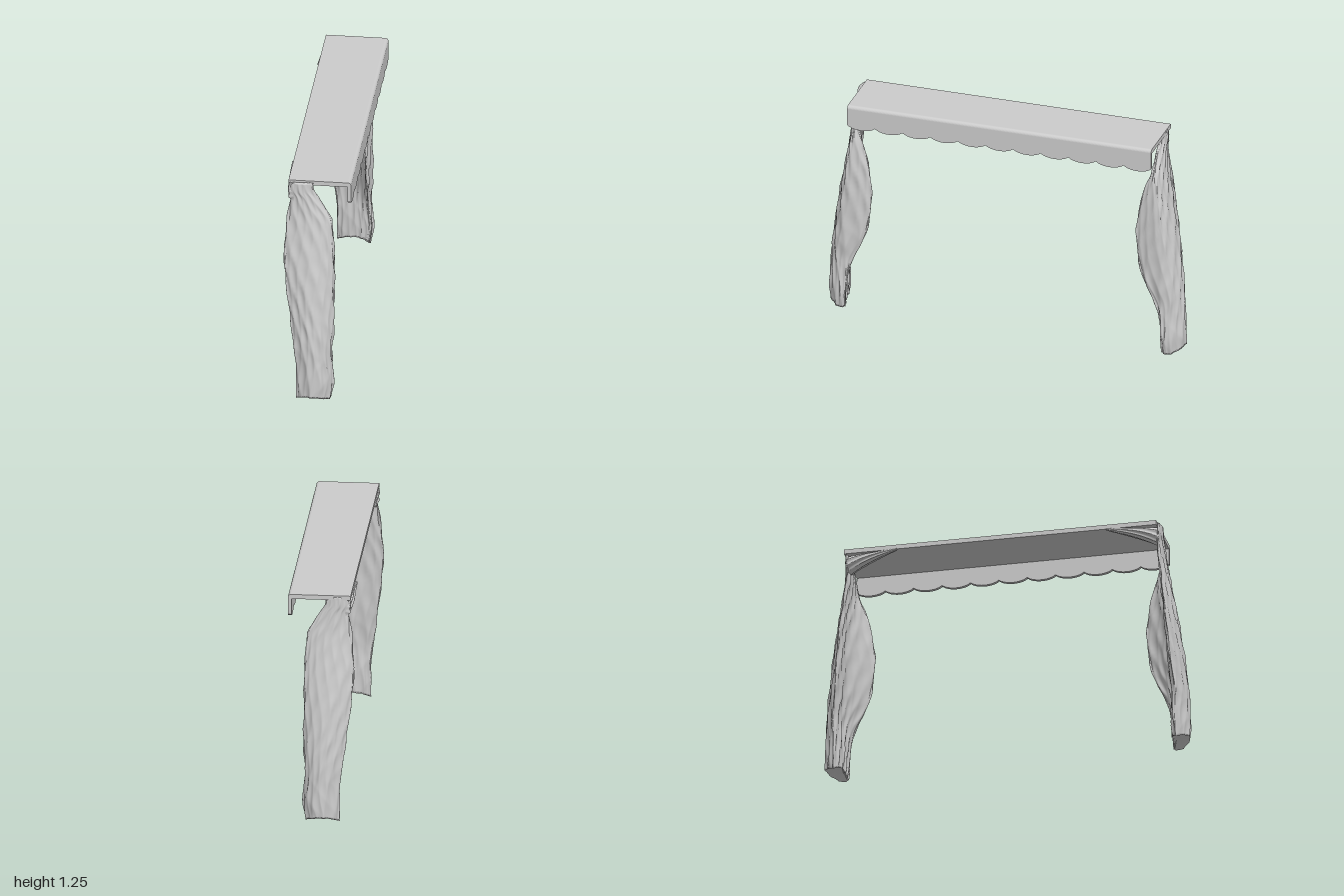
import * as THREE from 'three';

// Skin closed rings of points into one surface, with both ends closed.
function loft(rings, side, endInset = 0) {
  const n = rings[0].length, pos = [], idx = [];
  const tri = (a, b, c) => (side > 0 ? idx.push(a, b, c) : idx.push(a, c, b));
  rings.forEach(r => r.forEach(p => pos.push(p.x, p.y, p.z * side)));
  for (let i = 0; i < rings.length - 1; i++) {
    for (let j = 0; j < n; j++) {
      const k = (j + 1) % n, a = i * n + j, b = i * n + k;
      tri(a, a + n, b);
      tri(b, a + n, b + n);
    }
  }
  [0, rings.length - 1].forEach((row, end) => {
    const c = new THREE.Vector3();
    rings[row].forEach(p => c.addScaledVector(p, 1 / n));
    const id = pos.length / 3;
    pos.push(c.x, c.y + (end ? endInset : 0), c.z * side);
    for (let j = 0; j < n; j++) {
      const a = row * n + j, b = row * n + (j + 1) % n;
      if (end) tri(a, id, b); else tri(a, b, id);
    }
  });
  const g = new THREE.BufferGeometry();
  g.setAttribute('position', new THREE.Float32BufferAttribute(pos, 3));
  g.setIndex(idx);
  g.computeVertexNormals();
  return g;
}

// Drape outline by height: y, left x, right x, outer z, inner z, inner z of the billowing edge
const LEVELS = [
  [1.25, -.15, -.02, .865, .838, .838],
  [1.2, -.157, -.01, .868, .835, .83],
  [1.16, -.147, .015, .87, .83, .825],
  [1.1, -.157, .05, .875, .83, .82],
  [1.05, -.164, .077, .88, .835, .81],
  [.98, -.17, .09, .892, .84, .783],
  [.85, -.18, .098, .917, .85, .748],
  [.68, -.168, .1, .948, .86, .733],
  [.5, -.146, .1, .973, .87, .755],
  [.4, -.132, .1, .984, .88, .788],
  [.3, -.119, .093, .993, .89, .838],
  [.2, -.11, .096, .998, .885, .866],
  [.1, -.11, .102, 1.002, .885, .876],
  [.01, -.103, .088, 1.0, .89, .88],
];

// Sharp-crested pleat, 0 on the crest and 1 in the valley
const pleat = a => Math.abs(Math.sin(a * Math.PI));

function drapeGeometry(side) {
  const curve = o => new THREE.CatmullRomCurve3(
    LEVELS.map(l => new THREE.Vector3(l[o], l[o + 1], l[o + 2])), false, 'catmullrom', 0.5);
  const widths = curve(0), depths = curve(3);
  const rings = [], ROWS = 90, SEG = 150;
  for (let i = 0; i <= ROWS; i++) {
    const t = i / ROWS;
    const { x: y, y: xl, z: xr } = widths.getPoint(t);
    const { x: zo, y: zb, z: zf } = depths.getPoint(t);
    const w = xr - xl, d = zo - zb;
    const section = new THREE.CatmullRomCurve3([
      [xl, zb + d * .4], [xl + w * .22, zo - d * .22], [xl + w * .52, zo],
      [xl + w * .82, zo - d * .22], [xr, zb + d * .3], [xr - w * .03, zf + (zb - zf) * .45],
      [xr - w * .12, zf], [xr - w * .28, zf + (zb - zf) * .55],
      [xl + w * .5, zb], [xl + w * .18, zb + d * .12],
    ].map(([x, z]) => new THREE.Vector3(x, 0, z)), true, 'catmullrom', 0.5);
    const amp = Math.min(.013, d * .22);
    const hem = Math.max(0, 1 - y / .25);
    const ring = [];
    for (let j = 0; j < SEG; j++) {
      const u = j / SEG, p = section.getPoint(u), tan = section.getTangent(u);
      // slanting folds, tightening towards the top and crumpling at the hem
      const sway = .12 * Math.sin(y * 9 + u * 12.6);
      const f = .55 * pleat(11 * u + 2.2 * y + 1.6 * y * y + sway)
        + .3 * pleat(17 * u - 1.7 * y + 2 * sway)
        + .15 * pleat(6 * u + 9 * y + 4 * hem);
      const q = (p.x - xl) / w * 2 - 1;
      ring.push(new THREE.Vector3(p.x + tan.z * amp * f,
        y + hem * .032 * Math.max(0, 1 - q * q), p.z - tan.x * amp * f));
    }
    rings.push(ring);
  }
  return loft(rings, side, .06);
}

// Gathered cloth tapering away from the drape along the back edge of the pelmet
function swagGeometry(side) {
  const rings = [], ROWS = 24, SEG = 72, mix = THREE.MathUtils.lerp;
  for (let i = 0; i <= ROWS; i++) {
    const t = i / ROWS, e = Math.pow(t, .8);
    const x0 = mix(-.155, -.165, Math.min(1, t * 3)), x1 = mix(-.03, -.15, e);
    const y0 = mix(1.125, 1.224, e), y1 = 1.236;
    const ring = [];
    for (let j = 0; j < SEG; j++) {
      const a = j / SEG * Math.PI * 2;
      const r = .5 * (1 - .16 * pleat(9 * j / SEG + t));
      ring.push(new THREE.Vector3((x0 + x1) / 2 + (x1 - x0) * r * Math.cos(a),
        (y0 + y1) / 2 + (y1 - y0) * r * Math.sin(a), mix(.852, .57, t)));
    }
    rings.push(ring);
  }
  return loft(rings, side);
}

export function createModel() {
  const model = new THREE.Group();
  model.name = 'curtainedPelmet';
  const grey = new THREE.MeshStandardMaterial({ color: 0xcccccc, side: THREE.DoubleSide });
  grey.name = 'light grey';
  const add = (parent, name, geometry) => {
    const m = new THREE.Mesh(geometry, grey);
    m.name = name;
    parent.add(m);
  };

  // Pelmet board with a rounded front edge and a short drop
  const Z0 = -.86, LENGTH = 1.7, TOP = 1.26, DROP = 1.147, FRONT = .182, LIP = .019;
  const pelmet = new THREE.Group();
  pelmet.name = 'pelmet';
  const profile = new THREE.Shape();
  profile.moveTo(-.153, TOP - .025);
  profile.lineTo(FRONT - LIP, TOP - .025);
  profile.lineTo(FRONT - LIP, DROP);
  profile.lineTo(FRONT, DROP);
  profile.lineTo(FRONT, TOP - .018);
  profile.absarc(FRONT - .018, TOP - .018, .018, 0, Math.PI / 2, false);
  profile.lineTo(-.153, TOP);
  profile.closePath();
  const board = new THREE.ExtrudeGeometry(profile, { depth: LENGTH, bevelEnabled: false, curveSegments: 6 });
  board.translate(0, 0, Z0);
  add(pelmet, 'pelmetBoard', board);

  // Scalloped lower edge
  const COUNT = 11, step = LENGTH / COUNT;
  const edge = new THREE.Shape();
  edge.moveTo(0, DROP);
  for (let i = 0; i < COUNT; i++) {
    const a = i * step;
    edge.bezierCurveTo(a + step * .22, DROP - .029, a + step * .78, DROP - .029, a + step, DROP);
  }
  edge.closePath();
  const scallops = new THREE.ExtrudeGeometry(edge, { depth: LIP, bevelEnabled: false, curveSegments: 10 });
  scallops.rotateY(Math.PI / 2);
  scallops.translate(FRONT - LIP, 0, Z0 + LENGTH);
  add(pelmet, 'scallopedEdge', scallops);
  model.add(pelmet);

  // Mirrored pair of gathered curtains
  for (const side of [1, -1]) {
    const curtain = new THREE.Group();
    curtain.name = side > 0 ? 'frontCurtain' : 'backCurtain';
    add(curtain, 'drape', drapeGeometry(side));
    add(curtain, 'swag', swagGeometry(side));
    model.add(curtain);
  }
  return model;
}
